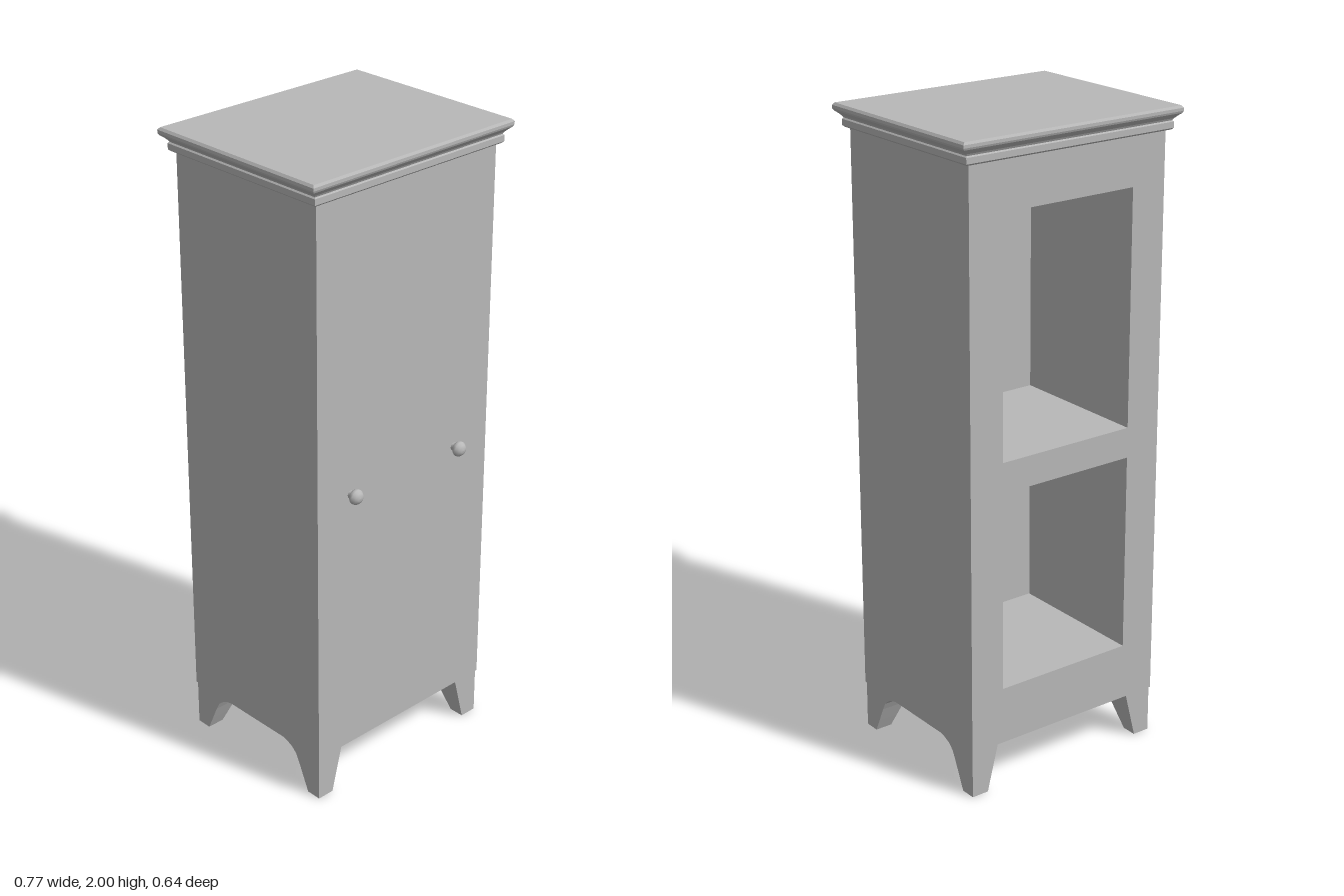
import * as THREE from 'three';

const HX = 0.347, HZ = 0.2855, FLOOR = 0.15, TOP = 1.93;
const BACK_DEPTH = 0.47;

// Closed solid through stacked rectangles, each [x0, x1, z0, z1, y], bottom to top
function loftRects(levels) {
  const pos = [];
  const rings = levels.map(([x0, x1, z0, z1, y]) => [[x0, y, z1], [x1, y, z1], [x1, y, z0], [x0, y, z0]]);
  const quad = (a, b, c, d) => pos.push(...a, ...b, ...c, ...a, ...c, ...d);
  for (let i = 0; i < rings.length - 1; i++) {
    for (let k = 0; k < 4; k++) {
      const n = (k + 1) % 4;
      quad(rings[i][k], rings[i][n], rings[i + 1][n], rings[i + 1][k]);
    }
  }
  const first = rings[0], last = rings[rings.length - 1];
  quad(last[0], last[1], last[2], last[3]);
  quad(first[3], first[2], first[1], first[0]);
  const g = new THREE.BufferGeometry();
  g.setAttribute('position', new THREE.Float32BufferAttribute(pos, 3));
  g.computeVertexNormals();
  return g;
}

function rectPath(Type, x0, y0, x1, y1) {
  const p = new Type();
  p.moveTo(x0, y0);
  p.lineTo(x1, y0);
  p.lineTo(x1, y1);
  p.lineTo(x0, y1);
  p.closePath();
  return p;
}

export function createModel() {
  const cabinet = new THREE.Group();
  cabinet.name = 'cabinet';
  const grey = new THREE.MeshStandardMaterial({ color: 0xb8b8b8 });
  grey.name = 'grey';
  const add = (geometry, name) => {
    const mesh = new THREE.Mesh(geometry, grey);
    mesh.name = name;
    cabinet.add(mesh);
    return mesh;
  };

  // Carcass with two compartments open at the back
  const outline = rectPath(THREE.Shape, -HX, FLOOR, HX, TOP);
  for (const [y0, y1] of [[0.33, 0.955], [1.05, 1.78]]) {
    outline.holes.push(rectPath(THREE.Path, -0.23, y0, 0.233, y1));
  }
  const carcass = new THREE.ExtrudeGeometry(outline, { depth: BACK_DEPTH, bevelEnabled: false });
  add(carcass, 'carcass').position.z = -HZ;

  // Closed front
  const thick = 2 * HZ - BACK_DEPTH;
  add(new THREE.BoxGeometry(2 * HX, TOP - FLOOR, thick), 'frontPanel')
    .position.set(0, (TOP + FLOOR) / 2, HZ - thick / 2);

  // Stepped cornice: [outset, y]
  const cornice = [[0.012, 1.93], [0.018, 1.935], [0.018, 1.953], [0.014, 1.957], [0.018, 1.963],
    [0.027, 1.971], [0.036, 1.978], [0.039, 1.984], [0.039, 1.993], [0.033, 2]];
  add(loftRects(cornice.map(([o, y]) => {
    const x = HX + o, z = HZ + o * 0.82;
    return [-x, x, -z, z, y];
  })), 'cornice');

  // Legs: straight taper seen from the front, curved bracket seen from the side
  const legInnerZ = [[0, 0.233], [0.04, 0.215], [0.09, 0.193], [0.115, 0.18], [0.132, 0.162],
    [0.143, 0.138], [0.148, 0.115], [FLOOR, 0.1]];
  for (const sx of [-1, 1]) {
    for (const sz of [-1, 1]) {
      const levels = legInnerZ.map(([y, z]) => {
        const xs = [sx * (0.288 - 0.038 * y / FLOOR), sx * 0.344].sort((a, b) => a - b);
        const zs = [sz * z, sz * 0.282].sort((a, b) => a - b);
        return [...xs, ...zs, y];
      });
      add(loftRects(levels), (sz > 0 ? 'front' : 'back') + (sx > 0 ? 'Left' : 'Right') + 'Leg');
    }
  }

  // Round knobs on short stems
  const knobProfile = [[0.012, 0], [0.011, 0.01], [0.02, 0.014], [0.024, 0.021], [0.023, 0.028],
    [0.016, 0.037], [0.008, 0.04], [0, 0.041]].map(([r, y]) => new THREE.Vector2(r, y));
  const knob = new THREE.LatheGeometry(knobProfile, 16).rotateX(Math.PI / 2);
  for (const [x, name] of [[-0.218, 'rightKnob'], [0.207, 'leftKnob']]) {
    add(knob, name).position.set(x, 1.015, HZ);
  }

  // Centre the whole depth, knobs included
  cabinet.children.forEach((part) => {
    part.position.x -= 0.0015;
    part.position.z -= 0.004;
  });
  return cabinet;
}
